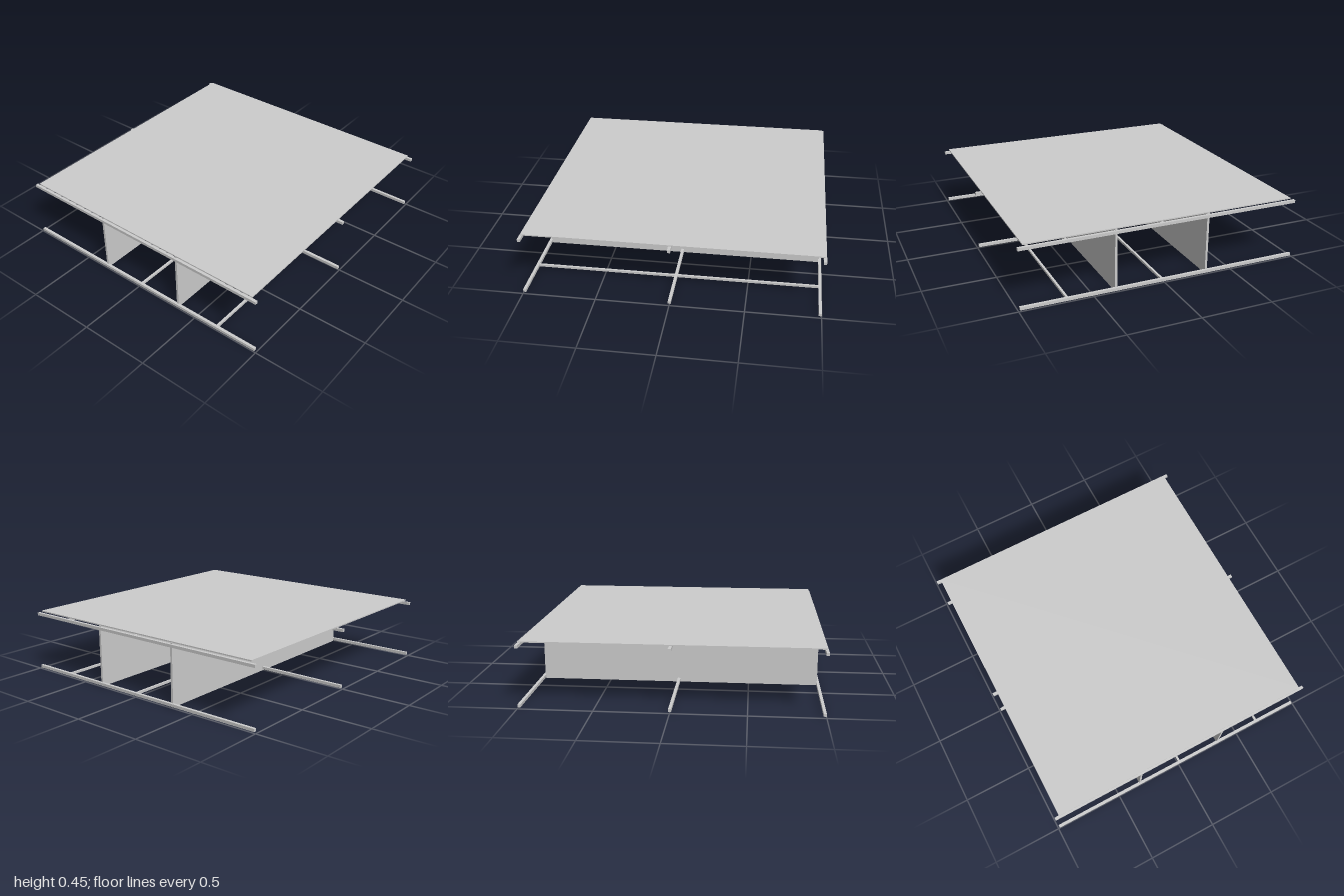
import * as THREE from 'three';

export function createModel() {
  const model = new THREE.Group();
  const grey = new THREE.MeshStandardMaterial({ color: 0xcccccc });
  grey.name = 'plain grey';

  function box(name, w, h, d, x, y, z) {
    const mesh = new THREE.Mesh(new THREE.BoxGeometry(w, h, d), grey);
    mesh.name = name;
    mesh.position.set(x, y, z);
    model.add(mesh);
  }

  // Lower and upper frames: three long rails joined by thin cross bars
  for (const [level, y] of [['lower', 0.018], ['upper', 0.418]]) {
    for (const x of [-0.99, 0, 0.99]) box(level + 'Rail', 0.02, 0.02, 1.98, x, y, 0);
    for (const z of [0.677, 0.012]) box(level + 'CrossBar', 1.97, 0.016, 0.016, 0, y, z);
  }

  // Upright panels between the frames, passing slightly beyond the rails
  for (const z of [0.342, -0.318]) box('uprightPanel', 1.972, 0.434, 0.016, 0, 0.217, z);

  // Thin table top lying just above the upper frame
  box('topSheet', 1.976, 0.008, 1.914, 0, 0.442, 0);

  return model;
}
